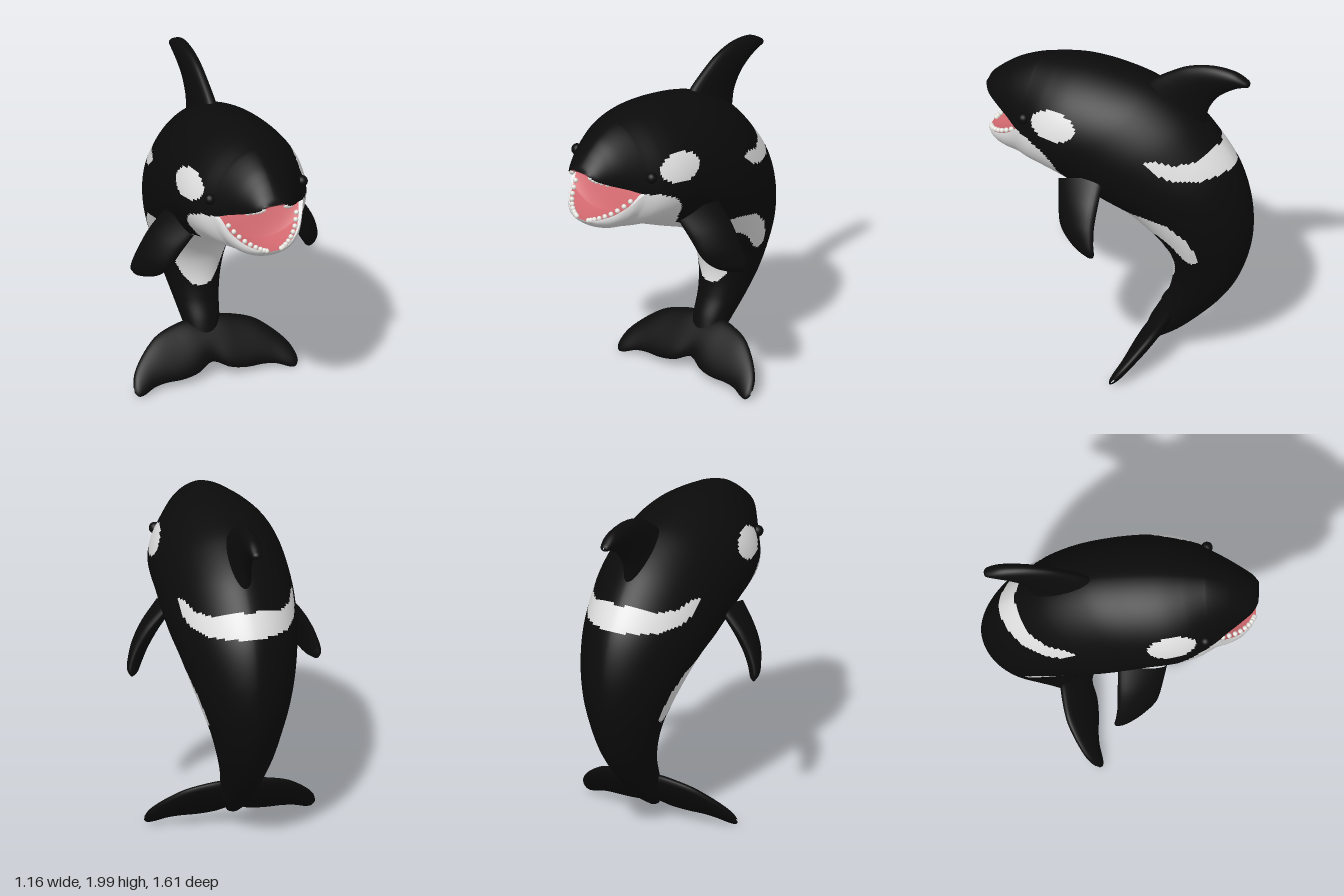
import * as THREE from 'three';
import { mergeVertices } from 'three/addons/utils/BufferGeometryUtils.js';

const material = (name, color) => {
  const m = new THREE.MeshStandardMaterial({ color });
  m.name = name;
  return m;
};

// Catmull-Rom through rows of numbers; u counts in rows
function sample(keys, u) {
  const n = keys.length, i = Math.min(Math.floor(u), n - 2), t = u - i;
  const at = k => keys[Math.max(0, Math.min(n - 1, k))];
  const a = at(i - 1), b = at(i), c = at(i + 1), d = at(i + 2);
  return b.map((_, k) => b[k] + 0.5 * t * (c[k] - a[k] + t * (2 * a[k] - 5 * b[k] + 4 * c[k] - d[k]
    + t * (3 * (b[k] - c[k]) + d[k] - a[k]))));
}
const samples = (keys, from, to, n) =>
  Array.from({ length: n + 1 }, (_, i) => sample(keys, from + (to - from) * i / n));

// Skins grids of points; pick(centroid, across) gives each face its material index
function skin(name, grids, materials, pick = () => 0) {
  const pos = [], faces = materials.map(() => []);
  for (const { rows, flip } of grids) {
    const base = pos.length / 3, w = rows[0].length;
    rows.forEach(r => r.forEach(p => pos.push(...p)));
    for (let i = 0; i < rows.length - 1; i++) for (let j = 0; j < w - 1; j++) {
      const q = [rows[i][j], rows[i][j + 1], rows[i + 1][j], rows[i + 1][j + 1]];
      const c = [0, 1, 2].map(k => (q[0][k] + q[1][k] + q[2][k] + q[3][k]) / 4);
      const a = base + i * w + j, b = a + 1, d = a + w, e = d + 1;
      faces[pick(c, (j + 0.5) / (w - 1))].push(...(flip ? [a, d, b, b, d, e] : [a, b, d, b, e, d]));
    }
  }
  let g = new THREE.BufferGeometry();
  g.setAttribute('position', new THREE.Float32BufferAttribute(pos, 3));
  g.setIndex(faces.flat());
  let start = 0;
  faces.forEach((f, k) => { g.addGroup(start, f.length, k); start += f.length; });
  g = mergeVertices(g, 1e-5);
  g.computeVertexNormals();
  const mesh = new THREE.Mesh(g, materials);
  mesh.name = name;
  return mesh;
}

// Body stations: back z, y; belly z, y; half width (tail to mouth corner)
const BODY = [
  [-0.23, 0.08, -0.19, 0.10, 0.04], [-0.36, 0.17, -0.22, 0.22, 0.09], [-0.48, 0.28, -0.25, 0.33, 0.11],
  [-0.60, 0.41, -0.30, 0.45, 0.135], [-0.70, 0.56, -0.325, 0.58, 0.17], [-0.77, 0.74, -0.31, 0.70, 0.21],
  [-0.80, 0.92, -0.26, 0.80, 0.255], [-0.785, 1.12, -0.17, 0.90, 0.30], [-0.72, 1.32, -0.04, 1.00, 0.34],
  [-0.60, 1.50, 0.10, 1.06, 0.37], [-0.44, 1.67, 0.22, 1.11, 0.385], [-0.22, 1.80, 0.32, 1.155, 0.387],
  [0.0, 1.86, 0.40, 1.19, 0.385], [0.20, 1.885, 0.46, 1.21, 0.37], [0.36, 1.88, 0.52, 1.22, 0.335],
  [0.50, 1.86, 0.58, 1.23, 0.28],
];
// Half stations: pole z, y; lip z, y; half width
const half = upper => BODY.map(([dz, dy, vz, vy, w]) => {
  const lip = [dz + (vz - dz) * 0.57, dy + (vy - dy) * 0.57];
  return [...(upper ? [dz, dy] : [vz, vy]), ...lip, w];
});
const SNOUT = [
  [0.62, 1.815, 0.63, 1.54, 0.22], [0.70, 1.765, 0.71, 1.575, 0.165], [0.76, 1.715, 0.77, 1.605, 0.12],
  [0.795, 1.68, 0.797, 1.625, 0.085], [0.81, 1.65, 0.81, 1.65, 0.06],
];
const JAW = [
  [0.66, 1.25, 0.62, 1.445, 0.24], [0.72, 1.275, 0.69, 1.40, 0.195], [0.76, 1.30, 0.745, 1.37, 0.14],
  [0.785, 1.325, 0.78, 1.35, 0.085], [0.793, 1.34, 0.793, 1.34, 0.05],
];

// Outline of the pale belly and of the saddle band, as z, y
const BELLY = [[0.9, 1.50], [0.55, 1.50], [0.46, 1.485], [0.37, 1.44], [0.31, 1.37], [0.29, 1.29], [0.24, 1.2],
  [0.12, 1.15], [0.04, 1.10], [-0.02, 1.07], [-0.25, 1.08], [-0.38, 1.05], [-0.48, 0.96], [-0.54, 0.84],
  [-0.545, 0.78], [-0.50, 0.755], [-0.45, 0.79], [-0.38, 0.88], [-0.30, 0.935], [-0.27, 0.93], [-0.31, 0.87],
  [-0.36, 0.78], [-0.375, 0.68], [-0.36, 0.6], [-0.33, 0.54], [-0.2, 0.5], [0.1, 0.8], [0.9, 1.1]];
const SADDLE = [[-0.255, 1.475], [-0.30, 1.48], [-0.42, 1.45], [-0.52, 1.455], [-0.62, 1.50], [-0.8, 1.5],
  [-0.8, 1.365], [-0.70, 1.36], [-0.55, 1.345], [-0.42, 1.36], [-0.34, 1.395], [-0.28, 1.44]];
function inside(poly, z, y) {
  let hit = false;
  poly.forEach(([az, ay], i) => {
    const [bz, by] = poly[(i + 1) % poly.length];
    if ((ay > y) !== (by > y) && z < az + (bz - az) * (y - ay) / (by - ay)) hit = !hit;
  });
  return hit;
}
function isPale([x, y, z]) {
  const eyePatch = ((z - 0.31) / 0.14) ** 2 + ((y - 1.61) / 0.082) ** 2 < 1 && Math.abs(x) > 0.15;
  return eyePatch || inside(BELLY, z, y) || inside(SADDLE, z, y);
}

// Half ring from the left lip over the pole to the right lip
const arc = (power, n = 72) => ([pz, py, sz, sy, w]) => Array.from({ length: n + 1 }, (_, j) => {
  const t = Math.PI * j / n, c = Math.cos(t), s = j % n ? Math.sin(t) : 0;
  return [w * Math.sign(c) * Math.abs(c) ** power, sy + (py - sy) * s, sz + (pz - sz) * s];
});
// Mouth lining from lip to lip, hollowed towards the pole
const lining = depth => ([pz, py, sz, sy, w], i) => Array.from({ length: 41 }, (_, j) => {
  const u = 1 - j / 20, k = depth * (1 - u * u) * Math.min(1, i / 12);
  return [w * u, sy + (py - sy) * k, sz + (pz - sz) * k];
});

// Rounded blade through sections: leading x, y, z; trailing x, y, z; half thickness
function blade(name, keys, mat) {
  const lead = k => new THREE.Vector3(k[0], k[1], k[2]), trail = k => new THREE.Vector3(k[3], k[4], k[5]);
  const mid = k => lead(k).add(trail(k)).multiplyScalar(0.5);
  const centre = keys[Math.floor(keys.length / 2)];
  const span = mid(keys[keys.length - 1]).sub(mid(keys[0]));
  const normal = span.cross(lead(centre).sub(trail(centre))).normalize();
  const rows = samples(keys, 0, keys.length - 1, 48).map(k => {
    const m = mid(k), c = lead(k).sub(m);
    return Array.from({ length: 29 }, (_, j) => {
      const t = 2 * Math.PI * (j % 28) / 28;
      return m.clone().addScaledVector(c, Math.cos(t)).addScaledVector(normal, k[6] * Math.sin(t)).toArray();
    });
  });
  return skin(name, [{ rows }], [mat]);
}

export function createModel() {
  const black = material('black skin', 0x0b0b0b);
  const white = material('white skin', 0xe0e0e0);
  const pink = material('pink mouth', 0xd0686e);
  const tooth = material('tooth ivory', 0xe8e6e0);
  const model = new THREE.Group();
  model.name = 'orca';

  // Body with upper snout and lower jaw
  const headKeys = (upper, tip) => [...half(upper).slice(-2), ...tip];
  const headRows = (upper, tip) => samples(headKeys(upper, tip), 1, tip.length + 1, 60);
  const shell = (upper, tip) => [
    ...samples(half(upper), 0, BODY.length - 1, 210), ...headRows(upper, tip).slice(1),
  ].map(arc(upper ? 1.15 : 1));
  model.add(skin('body', [
    { rows: shell(true, SNOUT) }, { rows: shell(false, JAW), flip: true },
  ], [black, white], c => (isPale(c) ? 1 : 0)));

  // Mouth lining with lips
  const lip = (c, across) => (Math.abs(across - 0.5) > 0.44 ? 1 : 0);
  model.add(skin('palate', [{ rows: headRows(true, SNOUT).map(lining(0.25)), flip: true }], [pink, black], lip));
  model.add(skin('mouthFloor', [{ rows: headRows(false, JAW).map(lining(0.45)) }], [pink, white], lip));

  // Teeth along both lips
  const teeth = new THREE.Group();
  teeth.name = 'teeth';
  const toothShape = new THREE.SphereGeometry(0.015, 12, 8);
  const addTeeth = (keys, from, step, count, lift) => {
    for (let k = 0; k < count; k++) for (const side of [1, -1]) {
      const [, , z, y, w] = sample(keys, 1 + from + k * step);
      const t = new THREE.Mesh(toothShape, tooth);
      t.name = 'tooth';
      t.position.set(side * w * 0.87, y + lift, z - 0.008);
      teeth.add(t);
    }
  };
  addTeeth(headKeys(false, JAW), 0.9, 0.5, 9, 0.004);
  addTeeth(headKeys(true, SNOUT), 2.2, 0.5, 5, -0.002);
  model.add(teeth);

  // Fins
  model.add(blade('dorsalFin', [
    [0, 1.75, -0.10, 0, 1.52, -0.50, 0.075], [0, 1.83, -0.18, 0, 1.66, -0.522, 0.06],
    [0, 1.90, -0.28, 0, 1.72, -0.54, 0.054], [0, 1.965, -0.40, 0, 1.79, -0.585, 0.05],
    [0, 1.997, -0.54, 0, 1.845, -0.65, 0.048], [0, 1.987, -0.68, 0, 1.885, -0.72, 0.043],
    [0, 1.945, -0.765, 0, 1.90, -0.775, 0.028], [0, 1.925, -0.785, 0, 1.915, -0.785, 0.004],
  ], black));

  // Flukes: x, leading y, trailing y, half thickness, mirrored into one blade
  const fluke = [[0.1, 0.315, 0.065, 0.05], [0.2, 0.30, 0.05, 0.045], [0.3, 0.27, 0.05, 0.04],
    [0.38, 0.22, 0.04, 0.034], [0.45, 0.16, 0.015, 0.028], [0.49, 0.11, 0.012, 0.02], [0.51, 0.06, 0.035, 0.004]];
  const flukes = [...fluke.map(([x, ...r]) => [-x, ...r]).reverse(), [0, 0.30, 0.105, 0.05], ...fluke];
  model.add(blade('tailFlukes',
    flukes.map(([x, l, t, h]) => [x, l, -0.08 - 0.8 * l, x, t, -0.08 - 0.8 * t, h]), black));

  // Flippers and eyes on both sides
  for (const [side, s] of [['left', 1], ['right', -1]]) {
    const flipper = blade(side + 'Flipper', [
      [0.30, 1.24, 0.28, 0.33, 1.32, 0.0, 0.05], [0.37, 1.13, 0.255, 0.45, 1.19, 0.0, 0.055],
      [0.43, 1.02, 0.225, 0.52, 1.08, 0.0, 0.05], [0.47, 0.95, 0.165, 0.56, 0.985, -0.01, 0.04],
      [0.51, 0.91, 0.09, 0.57, 0.93, -0.018, 0.03], [0.545, 0.89, 0.02, 0.56, 0.90, -0.01, 0.006],
    ], black);
    flipper.scale.x = s;
    const eye = new THREE.Mesh(new THREE.SphereGeometry(0.034, 20, 14), black);
    eye.name = side + 'Eye';
    eye.position.set(s * 0.288, 1.595, 0.505);
    model.add(flipper, eye);
  }
  return model;
}
